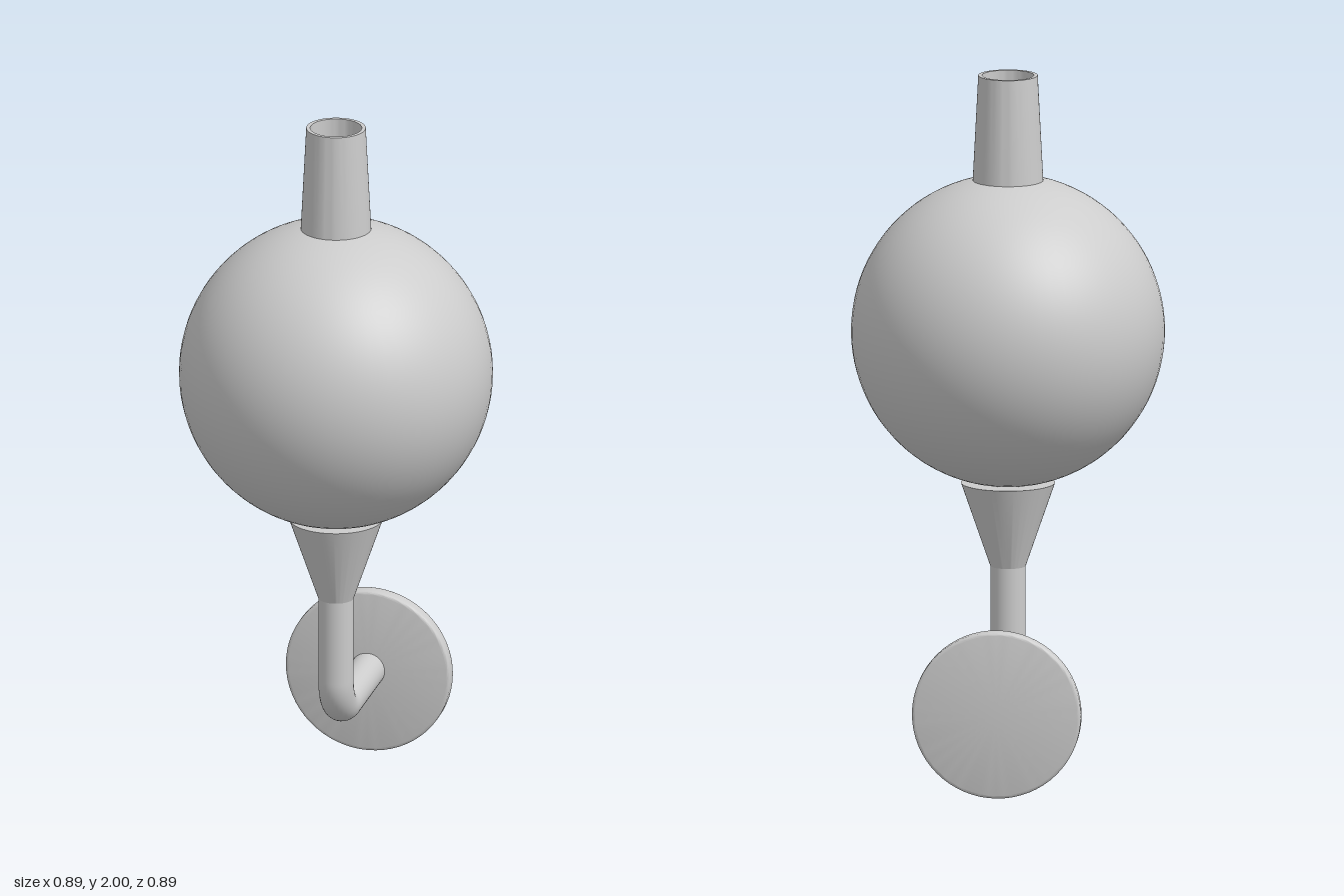
import * as THREE from 'three';
import { toCreasedNormals } from 'three/addons/utils/BufferGeometryUtils.js';

const SIDES = 64;

// Turned part from a [radius, height] profile, with crisp edges kept
function turned(profile, material, name) {
  const points = profile.map(([r, y]) => new THREE.Vector2(r, y));
  const geometry = toCreasedNormals(new THREE.LatheGeometry(points, SIDES), 0.5);
  const mesh = new THREE.Mesh(geometry, material);
  mesh.name = name;
  return mesh;
}

export function createModel() {
  const group = new THREE.Group();
  group.name = 'wallLamp';
  const grey = new THREE.MeshStandardMaterial({ color: 0xcccccc });
  grey.name = 'light grey';

  // Round globe
  const globe = new THREE.Mesh(new THREE.SphereGeometry(0.443, SIDES, 48), grey);
  globe.name = 'globe';
  globe.position.y = 1.267;
  group.add(globe);

  // Tapered hollow neck on top of the globe
  group.add(turned([
    [0.1, 1.69], [0.084, 2], [0.073, 2], [0.073, 1.72], [0, 1.72],
  ], grey, 'neck'));

  // Conical holder under the globe
  group.add(turned([
    [0, 0.59], [0.05, 0.59], [0.133, 0.83], [0, 0.83],
  ], grey, 'holder'));

  // Bent pipe: down, round the elbow, then back to the wall
  const v = (y, z) => new THREE.Vector3(0, y, z);
  const armY = 0.243, bend = 0.1, pull = bend * 0.4477;
  const path = new THREE.CurvePath();
  path.add(new THREE.LineCurve3(v(0.6, 0), v(armY + bend, 0)));
  path.add(new THREE.CubicBezierCurve3(
    v(armY + bend, 0), v(armY + pull, 0), v(armY, -pull), v(armY, -bend)));
  path.add(new THREE.LineCurve3(v(armY, -bend), v(armY, -0.38)));
  const arm = new THREE.Mesh(new THREE.TubeGeometry(path, 96, 0.05, 32), grey);
  arm.name = 'arm';
  group.add(arm);

  // Round wall plate with softened rims
  const R = 0.239, T = 0.046, f = 0.009;
  const profile = [[0, 0]];
  for (let i = 0; i <= 4; i++) {
    const a = (i / 4) * Math.PI / 2;
    profile.push([R - f + f * Math.sin(a), f - f * Math.cos(a)]);
  }
  for (let i = 0; i <= 4; i++) {
    const a = (i / 4) * Math.PI / 2;
    profile.push([R - f + f * Math.cos(a), T - f + f * Math.sin(a)]);
  }
  profile.push([0, T]);
  const plate = turned(profile, grey, 'wallPlate');
  plate.rotation.x = -Math.PI / 2;
  plate.position.set(0, R, -0.37);
  group.add(plate);

  return group;
}
